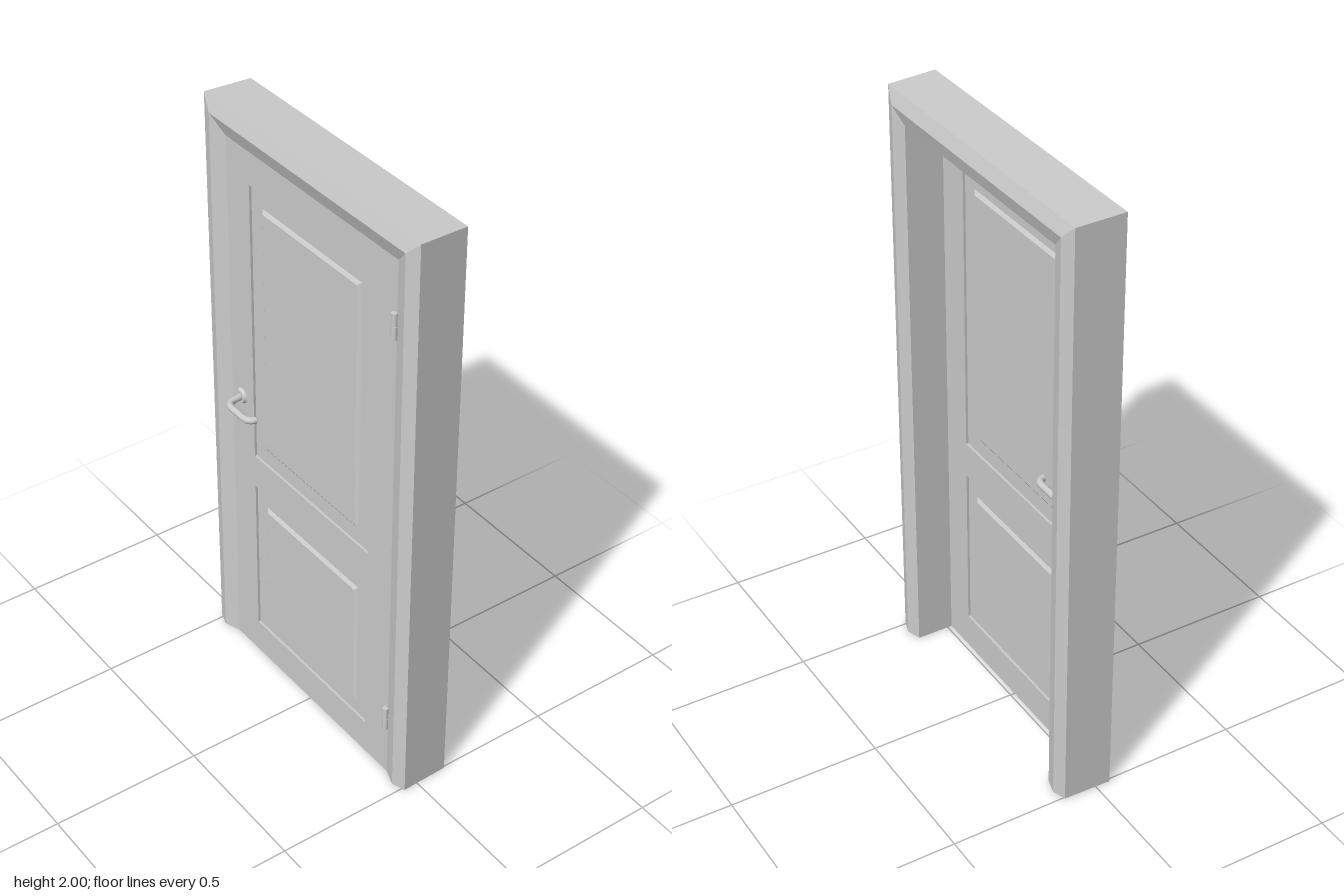
import * as THREE from 'three';

const mat = new THREE.MeshStandardMaterial({ color: 0xcccccc });
const flat = new THREE.MeshStandardMaterial({ color: 0xcccccc, flatShading: true });

const DOOR_Z = 0.03;        // middle plane of the door leaf
const DOOR_T = 0.03;        // leaf thickness
const HALF_W = 0.51, HEIGHT = 2, JAMB = 0.1;
const PANELS = [            // recess bounds: bottom, top
  [0.81, 1.79],
  [0.12, 0.69],
];
const RECESS_X = 0.295, FIELD_X = 0.24, FIELD_INSET = 0.055;

function mesh(name, geometry, material = flat) {
  const m = new THREE.Mesh(geometry, material);
  m.name = name;
  return m;
}

function rect(Type, hx, y0, y1) {
  const p = new Type();
  p.moveTo(-hx, y0);
  p.lineTo(hx, y0);
  p.lineTo(hx, y1);
  p.lineTo(-hx, y1);
  p.closePath();
  return p;
}

// Mitred casing: one hexagonal profile (inset from outer edge, z) run up, across and down
function frameGeometry() {
  const profile = [[0, 0.05], [0.045, 0.065], [JAMB, 0.045], [JAMB, -0.11], [0.05, -0.125], [0.005, -0.11]];
  const stations = [
    d => [-HALF_W + d, 0],
    d => [-HALF_W + d, HEIGHT - d],
    d => [HALF_W - d, HEIGHT - d],
    d => [HALF_W - d, 0],
  ];
  const pos = [], idx = [], n = profile.length;
  for (const at of stations) for (const [d, z] of profile) pos.push(...at(d), z);
  for (let s = 0; s < stations.length - 1; s++) {
    for (let i = 0; i < n; i++) {
      const a = s * n + i, b = s * n + (i + 1) % n;
      idx.push(a, b, b + n, a, b + n, a + n);
    }
  }
  const last = (stations.length - 1) * n;
  for (let i = 1; i < n - 1; i++) {
    idx.push(0, i + 1, i);
    idx.push(last, last + i, last + i + 1);
  }
  const g = new THREE.BufferGeometry();
  g.setAttribute('position', new THREE.Float32BufferAttribute(pos, 3));
  g.setIndex(idx);
  const out = g.toNonIndexed();
  out.computeVertexNormals();
  return out;
}

function buildDoor() {
  const door = new THREE.Group();
  door.name = 'door';
  door.position.z = DOOR_Z;

  // Leaf with two openings
  const shape = rect(THREE.Shape, HALF_W - JAMB, 0, HEIGHT - JAMB);
  for (const [y0, y1] of PANELS) shape.holes.push(rect(THREE.Path, RECESS_X, y0, y1));
  const leaf = mesh('doorLeaf', new THREE.ExtrudeGeometry(shape, { depth: DOOR_T, bevelEnabled: false }));
  leaf.position.z = -DOOR_T / 2;
  door.add(leaf);

  // Recessed boards, each with a bevelled raised field on both faces
  const core = 0.014, bevel = (DOOR_T - core) / 2;
  for (const [y0, y1] of PANELS) {
    const board = mesh('recessedPanel', new THREE.BoxGeometry(RECESS_X * 2, y1 - y0, core));
    board.position.y = (y0 + y1) / 2;
    const field = mesh('raisedPanel', new THREE.ExtrudeGeometry(
      rect(THREE.Shape, FIELD_X, y0 + FIELD_INSET, y1 - FIELD_INSET),
      { depth: core, bevelEnabled: true, bevelSegments: 1, bevelThickness: bevel, bevelSize: 0.012, bevelOffset: 0 - 0.012 },
    ));
    // the extrusion's widest outline sits on the recessed board
    field.position.z = -core / 2;
    door.add(board, field);
  }
  return door;
}

// Lever handle on a round rose, pointing to +z
function buildHandle() {
  const handle = new THREE.Group();
  handle.name = 'handle';
  const rose = mesh('handleRose', new THREE.CylinderGeometry(0.022, 0.027, 0.01, 24), mat);
  rose.rotation.x = Math.PI / 2;
  rose.position.set(-0.358, 0, DOOR_T / 2 + 0.005);

  const v = (x, z) => new THREE.Vector3(x, 0, z);
  const path = new THREE.CurvePath();
  path.add(new THREE.LineCurve3(v(-0.358, 0.01), v(-0.352, 0.05)));
  path.add(new THREE.QuadraticBezierCurve3(v(-0.352, 0.05), v(-0.347, 0.079), v(-0.318, 0.079)));
  path.add(new THREE.LineCurve3(v(-0.318, 0.079), v(-0.262, 0.079)));
  path.add(new THREE.QuadraticBezierCurve3(v(-0.262, 0.079), v(-0.232, 0.079), v(-0.228, 0.056)));
  const r = 0.0115;
  const lever = mesh('handleLever', new THREE.TubeGeometry(path, 40, r, 12), mat);
  // rounded tip
  const tip = mesh('handleTip', new THREE.SphereGeometry(r, 12, 8), mat);
  tip.scale.z = 0.4;
  tip.position.copy(v(-0.228, 0.056));
  handle.add(rose, lever, tip);
  return handle;
}

// Two-knuckle hinge barrel
function buildHinge(y) {
  const hinge = new THREE.Group();
  hinge.name = 'hinge';
  for (const s of [-1, 1]) {
    const knuckle = mesh('hingeKnuckle', new THREE.CylinderGeometry(0.01, 0.01, 0.042, 12), mat);
    knuckle.position.y = s * 0.0218;
    hinge.add(knuckle);
  }
  hinge.position.set(0.405, y, 0.05);
  return hinge;
}

export function createModel() {
  const model = new THREE.Group();
  model.name = 'panelDoor';
  model.add(mesh('frame', frameGeometry()), buildDoor());

  // One lever on each face
  for (const turn of [0, Math.PI]) {
    const handle = buildHandle();
    handle.position.set(0, 1.008, DOOR_Z);
    handle.rotation.x = turn;
    model.add(handle);
  }
  for (const y of [0.228, 1.688]) model.add(buildHinge(y));
  return model;
}
